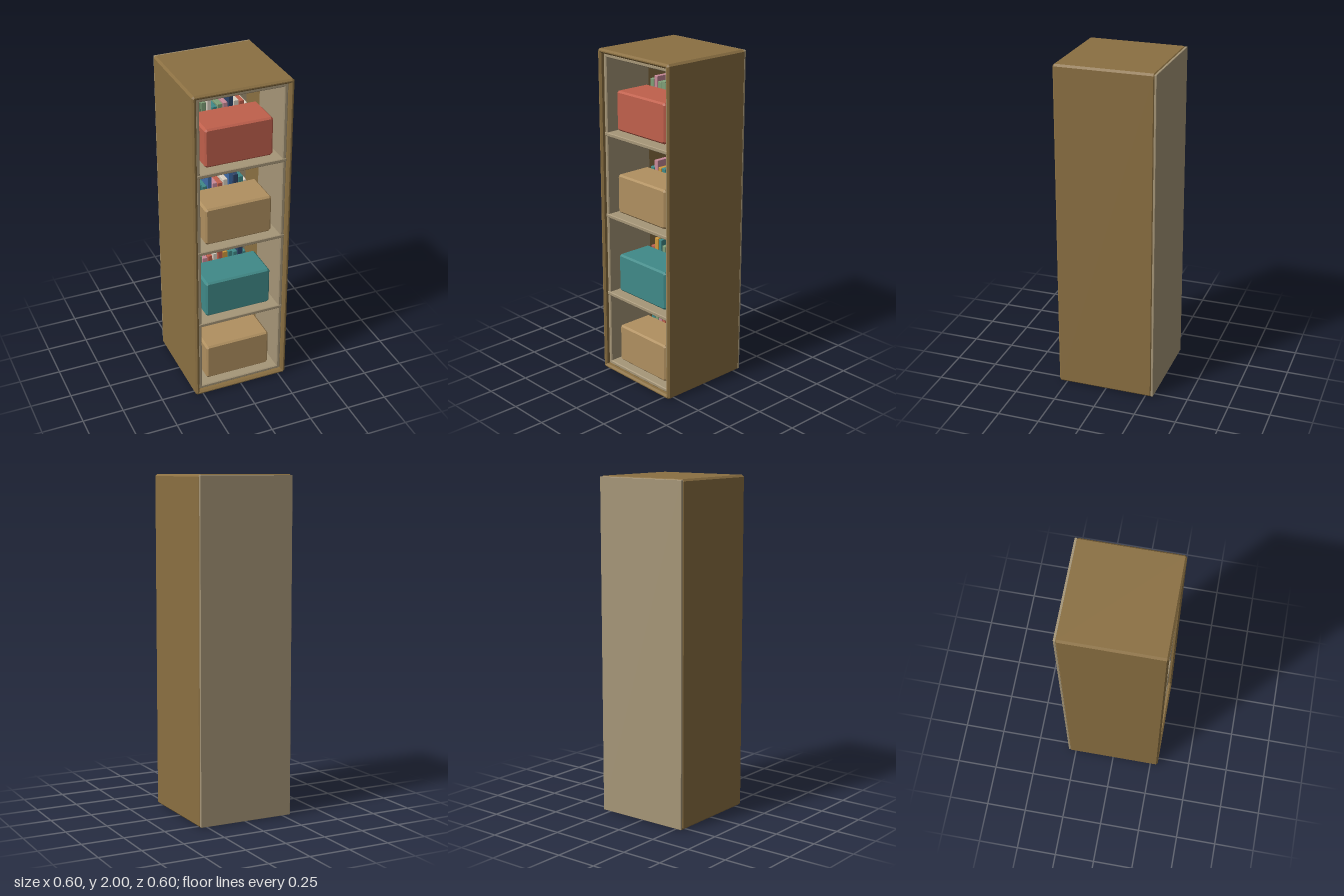
import * as THREE from 'three';

const WOOD = 0x8b7042, LINING = 0xa69678, CARDBOARD = 0xb09060;
const GREEN = 0x7f9f78, PINK = 0xc98a98, WHITE = 0xd8cfc0, NAVY = 0x2f4468;
const BLUE = 0x3f6ca8, TEAL = 0x408a88, RED = 0xc0604c, ORANGE = 0xd09a3c;
const BOOK_COLORS = [TEAL, RED, ORANGE, GREEN, WHITE, TEAL, PINK, RED];

// Rectangle with cut corners, centred on the origin
function outline(Type, w, h, c) {
  const p = new Type();
  const x = w / 2, y = h / 2;
  p.moveTo(c - x, -y);
  p.lineTo(x - c, -y).lineTo(x, c - y).lineTo(x, y - c).lineTo(x - c, y);
  p.lineTo(c - x, y).lineTo(-x, y - c).lineTo(-x, c - y);
  p.closePath();
  return p;
}

// Chamfered block standing on its base, its front face at z = 0;
// a wall thickness turns it into an open frame
function block(name, color, w, h, d, bevel, wall = 0) {
  const shape = outline(THREE.Shape, w - 2 * bevel, h - 2 * bevel, bevel * 0.6);
  if (wall) {
    const inset = 2 * (wall - bevel);
    shape.holes.push(outline(THREE.Path, w - inset, h - inset, bevel * 0.2));
  }
  const geo = new THREE.ExtrudeGeometry(shape, {
    depth: d - 2 * bevel, bevelEnabled: true, bevelSize: bevel, bevelThickness: bevel, bevelSegments: 1,
  });
  geo.translate(0, h / 2, bevel - d);
  const mesh = new THREE.Mesh(geo, new THREE.MeshStandardMaterial({ color, flatShading: true }));
  mesh.name = name;
  return mesh;
}

function place(mesh, x, y, z) {
  mesh.position.set(x, y, z);
  return mesh;
}

// Compartments from the floor up; special books are keyed by their place in the row
const COMPARTMENTS = [
  { boxColor: CARDBOARD, leanColor: WHITE,
    special: { 0: [0.222, TEAL], 4: [0.28, WHITE], 5: [0.28, PINK] } },
  { boxColor: TEAL, leanColor: TEAL,
    special: { 0: [0.222, RED], 1: [0.28, ORANGE], 2: [0.278, TEAL], 7: [0.29, RED], 11: [0.265, NAVY] } },
  { boxColor: CARDBOARD, leanColor: WHITE,
    special: { 0: [0.23, TEAL], 1: [0.278, PINK], 5: [0.295, BLUE], 9: [0.285, BLUE], 10: [0.264, NAVY] } },
  { boxColor: RED, leanColor: WHITE,
    special: { 0: [0.27, GREEN], 1: [0.292, PINK], 2: [0.262, GREEN], 3: [0.27, GREEN],
      4: [0.265, GREEN], 5: [0.292, WHITE], 9: [0.3, NAVY] } },
];

function bookRow({ special, leanColor }, level) {
  const row = new THREE.Group();
  row.name = 'bookRow';
  for (let i = 0; i < 12; i++) {
    const height = 0.235 + 0.01 * Math.sin(i * 2.3 + level);
    const color = BOOK_COLORS[(i * 3 + level * 2) % BOOK_COLORS.length];
    const [h, c] = special[i] ?? [height, color];
    const w = 0.029 + 0.003 * Math.sin(i * 1.7 + level);
    row.add(place(block('book', c, w, h, 0.22, 0.002), -0.225 + i * 0.033, 0, -0.05));
  }
  // Last book leans against the row
  const leaning = place(block('leaningBook', leanColor, 0.024, 0.22, 0.21, 0.002), 0.22, 0.004, -0.05);
  leaning.rotation.z = 0.28;
  row.add(leaning);
  return row;
}

export function createModel() {
  const model = new THREE.Group();
  model.name = 'bookcase';

  // Carcass, lining of the front half and back panel
  model.add(
    place(block('carcass', WOOD, 0.596, 2, 0.588, 0.01, 0.026), 0, 0, 0.298),
    place(block('lining', LINING, 0.542, 1.946, 0.325, 0.005, 0.023), 0, 0.027, 0.275),
    place(block('backPanel', LINING, 0.588, 1.992, 0.014, 0.002), 0, 0.004, -0.284),
  );

  // Floor and ceiling behind the lining
  for (const [name, y] of [['rearFloor', 0.025], ['rearCeiling', 1.952]]) {
    model.add(place(block(name, WOOD, 0.546, 0.022, 0.24, 0.001), 0, y, -0.045));
  }

  // Shelves
  for (const y of [0.5, 1, 1.5]) {
    model.add(place(block('shelf', LINING, 0.544, 0.023, 0.562, 0.004), 0, y - 0.011, 0.278));
  }

  // Storage box and books of each compartment
  COMPARTMENTS.forEach((compartment, level) => {
    const floor = level ? level * 0.5 + 0.012 : 0.048;
    model.add(
      place(block('storageBox', compartment.boxColor, 0.408, 0.235, 0.23, 0.01), 0, floor + 0.015, 0.24),
      place(bookRow(compartment, level), 0, floor, 0),
    );
  });
  return model;
}
